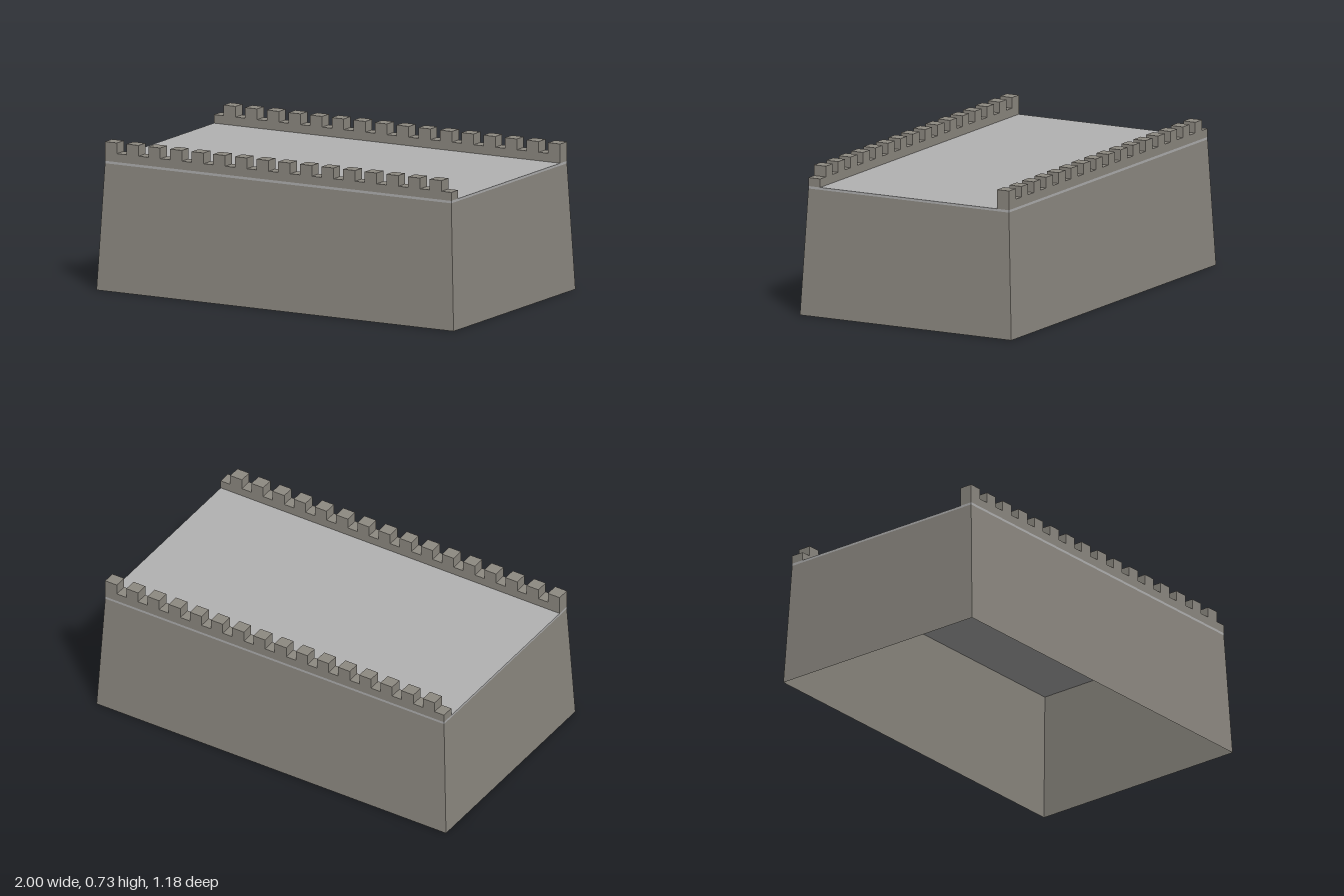
import * as THREE from 'three';

const TOP = { x: 0.97, z: 0.56 };      // half sizes at the wall head
const BASE = { x: 1, z: 0.59 };        // half sizes at the ground
const WALL_H = 0.625, DECK_Y = 0.637, SILL_Y = 0.679, MERLON_Y = 0.732;
const PARAPET_DEPTH = 0.066, TEETH = 16, MERLON_W = 0.067;

// Open, tapering four-sided shell
function shellGeometry() {
  const geo = new THREE.CylinderGeometry(Math.SQRT2, Math.SQRT2, WALL_H, 4, 1, true).toNonIndexed();
  geo.rotateY(Math.PI / 4);
  geo.translate(0, WALL_H / 2, 0);
  const p = geo.attributes.position;
  for (let i = 0; i < p.count; i++) {
    const size = p.getY(i) > WALL_H / 2 ? TOP : BASE;
    p.setX(i, Math.sign(p.getX(i)) * size.x);
    p.setZ(i, Math.sign(p.getZ(i)) * size.z);
  }
  geo.computeVertexNormals();
  return geo;
}

// Crenellated strip: each period is a merlon followed by a gap
function parapetGeometry() {
  const pitch = (2 * TOP.x) / TEETH;
  const shape = new THREE.Shape();
  shape.moveTo(-TOP.x, DECK_Y);
  shape.lineTo(TOP.x, DECK_Y);
  for (let i = TEETH - 1; i >= 0; i--) {
    const left = -TOP.x + i * pitch;
    shape.lineTo(left + pitch, SILL_Y);
    shape.lineTo(left + MERLON_W, SILL_Y);
    shape.lineTo(left + MERLON_W, MERLON_Y);
    shape.lineTo(left, MERLON_Y);
  }
  shape.closePath();
  const geo = new THREE.ExtrudeGeometry(shape, { depth: PARAPET_DEPTH, bevelEnabled: false });
  geo.translate(0, 0, TOP.z - PARAPET_DEPTH);
  return geo;
}

export function createModel() {
  const stone = new THREE.MeshStandardMaterial({ color: 0x8e8a82, side: THREE.DoubleSide });
  stone.name = 'stone';
  const paving = new THREE.MeshStandardMaterial({ color: 0xb2b2b2 });
  paving.name = 'paving';

  const model = new THREE.Group();
  model.name = 'wallSection';
  const add = (name, geo, mat) => {
    const mesh = new THREE.Mesh(geo, mat);
    mesh.name = name;
    model.add(mesh);
    return mesh;
  };

  add('wallShell', shellGeometry(), stone);

  // Walkway slab closing the shell
  const slabH = DECK_Y - WALL_H;
  add('walkway', new THREE.BoxGeometry(2 * TOP.x, slabH, 2 * TOP.z), paving)
    .position.y = WALL_H + slabH / 2;

  // Two parapets, the back one turned half round so the teeth are staggered
  const parapet = parapetGeometry();
  add('frontParapet', parapet, stone);
  add('backParapet', parapet, stone).rotation.y = Math.PI;

  return model;
}
